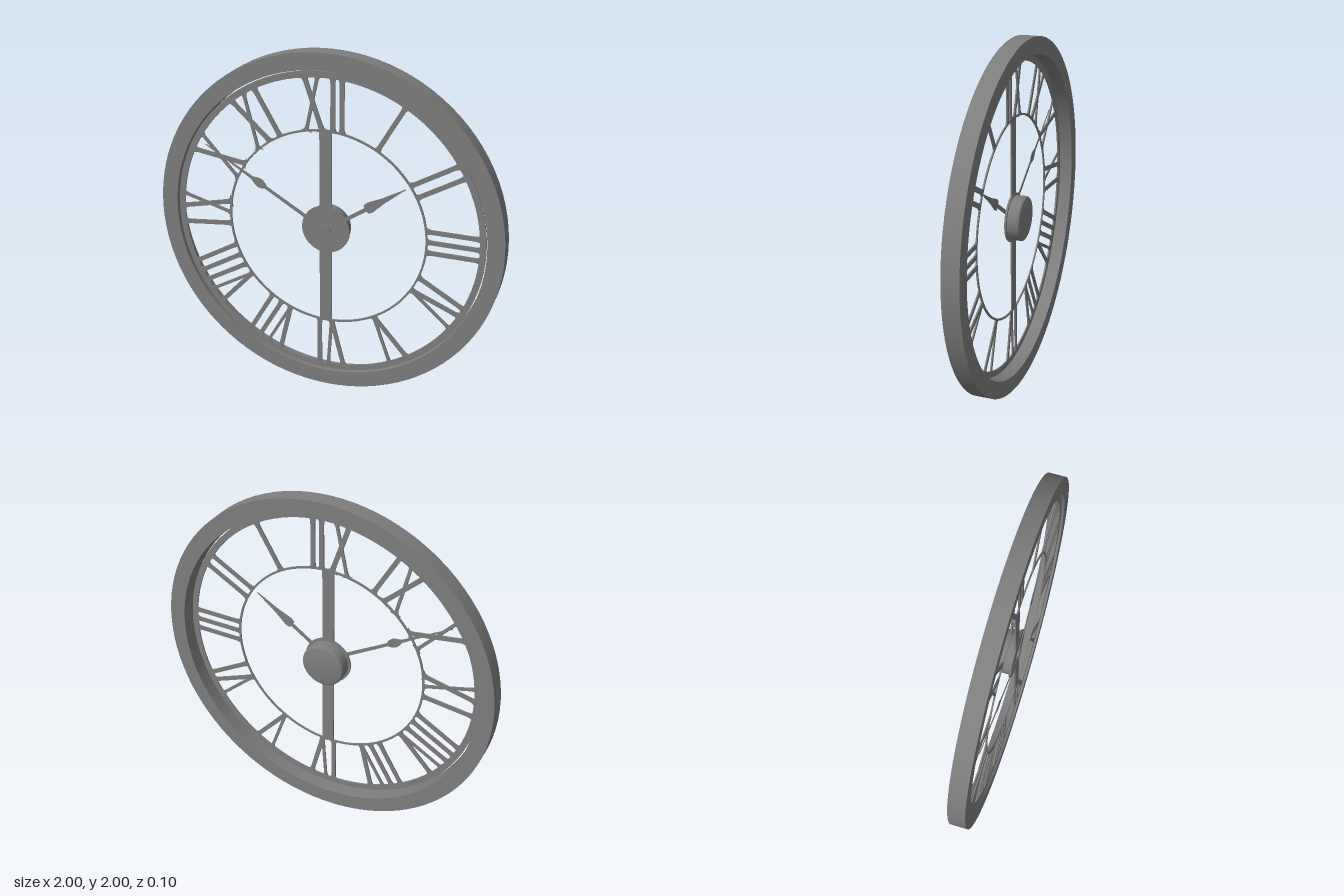
import * as THREE from 'three';
import { toCreasedNormals } from 'three/addons/utils/BufferGeometryUtils.js';

const material = new THREE.MeshStandardMaterial({ color: 0x7e7e7e });
const PLATE_Z = 0.026, PLATE_T = 0.008;
const R_IN = 0.573, R_OUT = 0.872;

// Extrude a flat outline from z to z + depth
function plate(name, shape, z, depth, segments = 12) {
  const geo = new THREE.ExtrudeGeometry(shape, { depth, bevelEnabled: false, curveSegments: segments });
  const mesh = new THREE.Mesh(toCreasedNormals(geo, 0.5), material);
  mesh.name = name;
  mesh.position.z = z;
  return mesh;
}

function ring(name, outer, inner, z, depth) {
  const shape = new THREE.Shape().absarc(0, 0, outer, 0, Math.PI * 2);
  shape.holes.push(new THREE.Path().absarc(0, 0, inner, 0, Math.PI * 2, true));
  return plate(name, shape, z, depth, 48);
}

// Straight bar whose ends flare into the two dial rings;
// a and b are the sideways offsets at the inner and outer ring
function stroke(a, b, w) {
  const y0 = Math.sqrt(R_IN * R_IN - a * a), y1 = Math.sqrt(R_OUT * R_OUT - b * b);
  const length = Math.hypot(b - a, y1 - y0), f = 0.022, l = 0.036;
  const s = new THREE.Shape();
  s.moveTo(-w - f, 0);
  s.lineTo(w + f, 0);
  s.quadraticCurveTo(w, 0, w, l);
  s.lineTo(w, length - l);
  s.quadraticCurveTo(w, length, w + f, length);
  s.lineTo(-w - f, length);
  s.quadraticCurveTo(-w, length, -w, length - l);
  s.lineTo(-w, l);
  s.quadraticCurveTo(-w, 0, -w - f, 0);
  const mesh = plate('numeralStroke', s, PLATE_Z, PLATE_T, 5);
  mesh.position.set(a, y0, PLATE_Z);
  mesh.rotation.z = -Math.atan2(b - a, y1 - y0);
  return mesh;
}

// Hand outline from [distance, halfWidth] pairs, pointing along +y
function hand(name, profile, angle, z) {
  const right = profile.map(([y, w]) => new THREE.Vector2(w, y));
  const left = profile.map(([y, w]) => new THREE.Vector2(-w, y)).reverse();
  const mesh = plate(name, new THREE.Shape([...right, ...left]), z, 0.004);
  mesh.rotation.z = angle;
  return mesh;
}

export function createModel() {
  const model = new THREE.Group();
  model.name = 'wallClock';
  const clock = new THREE.Group();
  clock.name = 'clock';
  clock.position.y = 1;
  model.add(clock);

  // Rim and the two rings of the dial
  clock.add(ring('rim', 1, 0.906, -0.048, 0.096));
  clock.add(ring('dialOuterRing', 0.899, 0.864, PLATE_Z, PLATE_T));
  clock.add(ring('dialInnerRing', 0.58, 0.569, PLATE_Z, PLATE_T));

  // Numerals: [inner offset, outer offset, half width] of each bar, clockwise positive
  const T = 0.009, M = 0.013;
  const I = (x) => [x, x, M];
  const V = (apex, left, right) => [[apex, left, M], [apex, right, T]];
  const X = (il, ir, ol, or) => [[ir, ol, M], [il, or, T]];
  const numerals = [
    [...X(-0.11, -0.02, -0.12, -0.045), I(0.04), I(0.091)],
    [I(0)],
    [I(-0.045), I(0.028)],
    [I(-0.078), I(-0.016), I(0.046)],
    [I(-0.092), ...V(0, -0.04, 0.06)],
    V(0, -0.06, 0.055),
    [...V(-0.035, -0.11, -0.015), I(0.037)],
    [...V(-0.078, -0.165, -0.08), I(-0.018), I(0.048)],
    [...V(-0.08, -0.17, -0.08), I(-0.015), I(0.05), I(0.115)],
    [[-0.052, -0.085, M], ...X(0.015, 0.085, 0.015, 0.095)],
    X(-0.055, 0.046, -0.07, 0.04),
    [...X(-0.13, -0.04, -0.13, -0.04), I(0.03)],
  ];
  numerals.forEach((bars, hour) => {
    const group = new THREE.Group();
    group.name = 'numeral' + (hour || 12);
    group.rotation.z = -hour * Math.PI / 6;
    bars.forEach((bar) => group.add(stroke(...bar)));
    clock.add(group);
  });

  // Upright bar carrying the movement
  const bar = new THREE.Mesh(new THREE.BoxGeometry(0.07, 1.15, PLATE_T), material);
  bar.name = 'crossBar';
  bar.position.z = PLATE_Z + PLATE_T / 2;
  clock.add(bar);

  // Hub disc in front, movement housing with a rounded edge behind
  const disc = new THREE.Shape().absarc(0, 0, 0.139, 0, Math.PI * 2);
  clock.add(plate('hubDisc', disc, PLATE_Z - 0.002, PLATE_T + 0.003, 32));
  const profile = [[0, 0.046], [0.112, 0.046], [0.119, 0.044], [0.124, 0.039], [0.126, 0.032], [0.126, -0.025]]
    .map(([r, y]) => new THREE.Vector2(r, y)).reverse();
  const housing = new THREE.Mesh(toCreasedNormals(new THREE.LatheGeometry(profile, 64), 0.6), material);
  housing.name = 'movementHousing';
  housing.rotation.x = -Math.PI / 2;
  clock.add(housing);

  // Hands and the pin that holds them
  clock.add(hand('hourHand', [[0, 0.011], [0.28, 0.011], [0.283, 0.026], [0.31, 0.031], [0.4, 0.015], [0.545, 0.002]],
    -Math.atan2(84, 57), 0.037));
  clock.add(hand('minuteHand', [[0, 0.011], [0.405, 0.009], [0.42, 0.02], [0.445, 0.027], [0.465, 0.024],
    [0.5, 0.009], [0.6, 0.006], [0.82, 0.002]], Math.atan2(73, 43), 0.042));
  const pin = new THREE.Mesh(new THREE.CylinderGeometry(0.03, 0.03, 0.012, 32), material);
  pin.name = 'handPin';
  pin.rotation.x = Math.PI / 2;
  pin.position.z = 0.042;
  clock.add(pin);

  return model;
}
